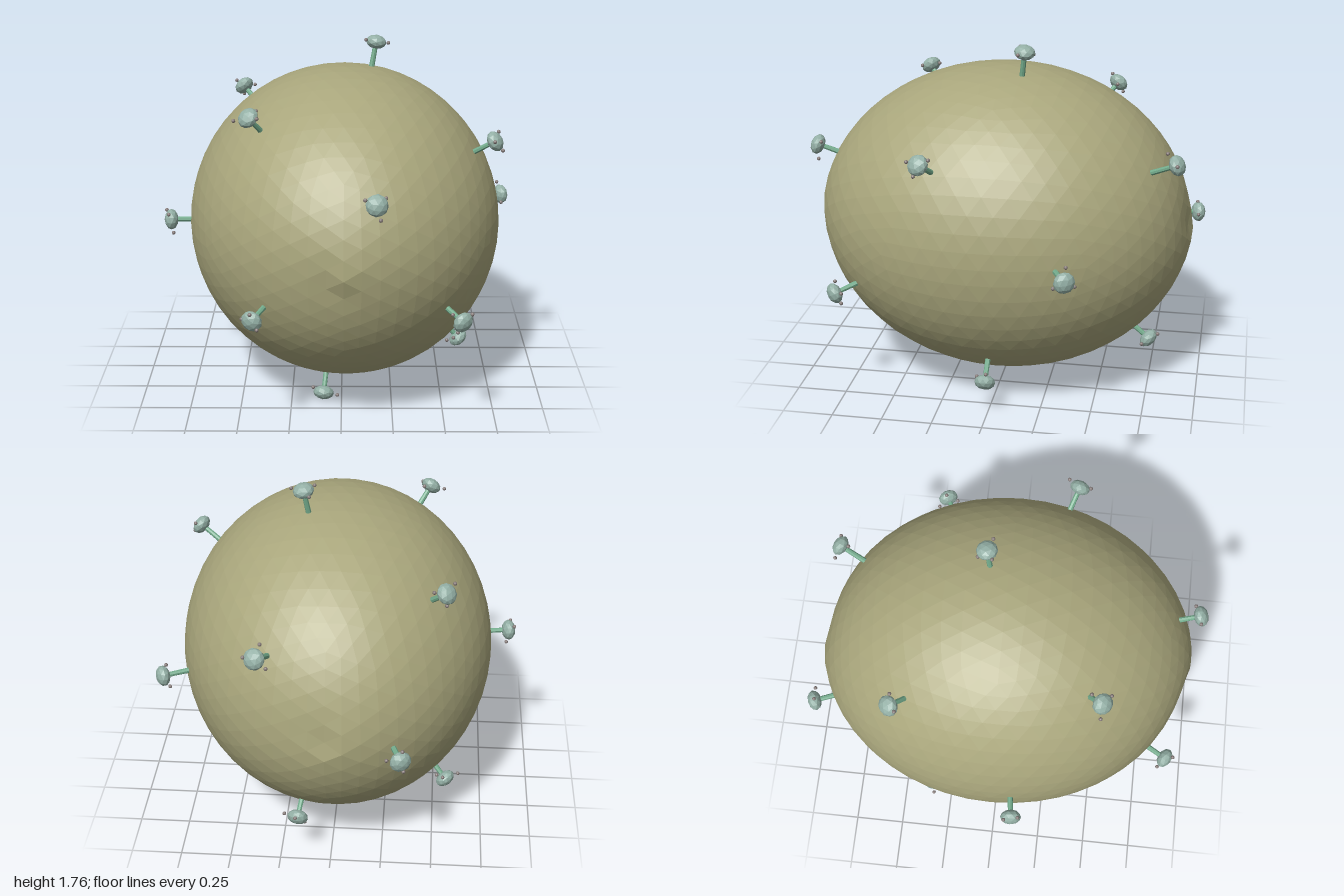
import * as THREE from 'three';

const CENTER = new THREE.Vector3(0.013, 0.852, 0);
const UP = new THREE.Vector3(0, 1, 0);

// Centres of the knob heads
const HEADS = [
  [0.17, 1.735, -0.11], [0.74, 1.33, 0.29], [0.85, 0.845, -0.405],
  [0.16, 1.215, 0.945], [-0.435, 1.495, 0.49], [-0.525, 1.42, -0.5],
  [-0.86, 0.87, 0.11], [-0.41, 0.63, 0.865], [0.57, 0.585, 0.765],
  [-0.56, 0.245, -0.35], [0.61, 0.185, 0.01], [-0.09, 0.05, 0.4],
  [0.16, 0.275, -0.75], [-0.34, 0.79, -0.955], [0.33, 1.26, -0.867],
];

function seeded(seed) {
  return () => (seed = (seed * 16807) % 2147483647) / 2147483647;
}

function material(color) {
  return new THREE.MeshStandardMaterial({ color, flatShading: true });
}

// Faceted ellipsoid, slightly lopsided around its two pointed ends
function bodyGeometry() {
  const geo = new THREE.IcosahedronGeometry(1, 9);
  const pos = geo.attributes.position;
  const v = new THREE.Vector3();
  for (let i = 0; i < pos.count; i++) {
    v.fromBufferAttribute(pos, i);
    const around = Math.atan2(v.y, v.x);
    const k = 1 + 0.02 * v.z * Math.cos(around - Math.PI / 4);
    v.set(v.x * 0.782 * k, v.y * 0.78 * k, v.z * 0.93 * k);
    pos.setXYZ(i, v.x, v.y, v.z);
  }
  geo.computeVertexNormals();
  return geo;
}

export function createModel() {
  const model = new THREE.Group();
  model.name = 'knobbedBody';

  const body = new THREE.Mesh(bodyGeometry(), material(0xa9a67c));
  body.name = 'body';
  body.position.copy(CENTER);
  model.add(body);

  const stemGeo = new THREE.CylinderGeometry(0.012, 0.014, 0.15, 8);
  const headGeo = new THREE.IcosahedronGeometry(0.052, 1).scale(1, 0.68, 1);
  const beadGeo = new THREE.IcosahedronGeometry(0.0095, 1);
  const stemMat = material(0x73ab8c);
  const headMat = material(0x94b0a6);
  const beadMat = material(0x857a78);
  const rand = seeded(4711);

  // Each knob points straight out from the body's centre
  HEADS.forEach((p) => {
    const knob = new THREE.Group();
    knob.name = 'knob';
    knob.position.set(...p);
    const dir = knob.position.clone().sub(CENTER).normalize();
    knob.quaternion.setFromUnitVectors(UP, dir);

    const stem = new THREE.Mesh(stemGeo, stemMat);
    stem.name = 'stem';
    stem.position.y = -0.075;
    const head = new THREE.Mesh(headGeo, headMat);
    head.name = 'head';
    knob.add(stem, head);

    // Small beads scattered around the head
    const start = rand() * Math.PI * 2;
    for (let i = 0; i < 3; i++) {
      const a = start + (i * Math.PI * 2) / 3 + (rand() - 0.5) * 0.8;
      const r = 0.045 + rand() * 0.03;
      const bead = new THREE.Mesh(beadGeo, beadMat);
      bead.name = 'bead';
      bead.position.set(Math.cos(a) * r, -0.035 + rand() * 0.06, Math.sin(a) * r);
      knob.add(bead);
    }
    model.add(knob);
  });

  return model;
}
